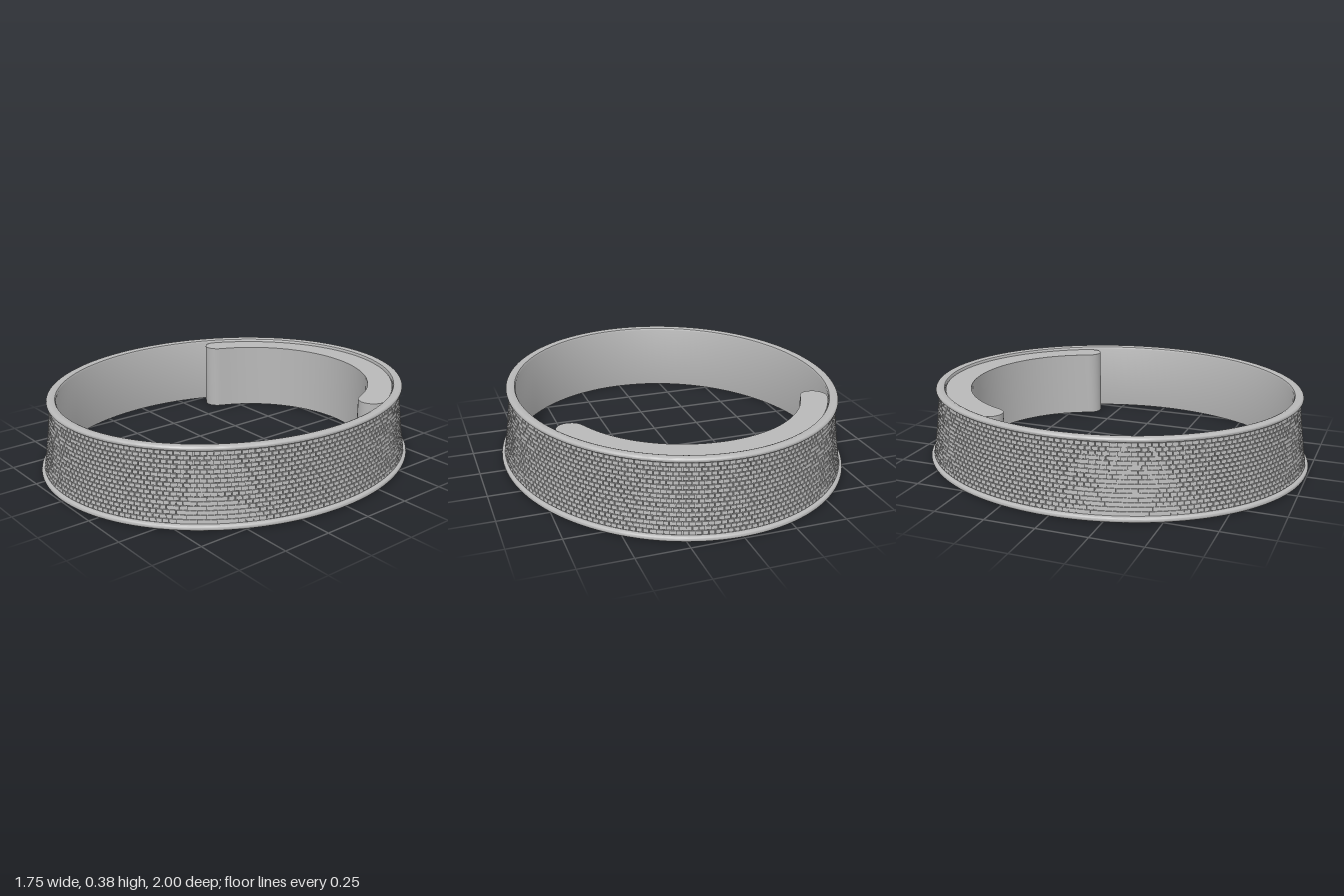
import * as THREE from 'three';
import { mergeGeometries, mergeVertices, toCreasedNormals } from 'three/addons/utils/BufferGeometryUtils.js';

const STRETCH = 0.125; // the ring is this much longer in z than in x, at every radius

// Outside radius of the slightly waisted wall at height y
const wallRadius = (y) => {
  const t = (y - 0.02) / 0.34;
  return 0.855 - 0.043 * t - 0.016 * t * (1 - t);
};

// Place a point by angle, height and radius on the oval
const ovalPoint = (angle, y, r) =>
  new THREE.Vector3(r * Math.sin(angle), y, (r + STRETCH) * Math.cos(angle));

// Revolve a profile of [radius, y] pairs and stretch it to the oval
function ovalLathe(profile, crease) {
  const pts = profile.map(([r, y]) => new THREE.Vector2(r, y));
  let geo = new THREE.LatheGeometry(pts, 128);
  const p = geo.attributes.position;
  for (let i = 0; i < p.count; i++) {
    const r = Math.hypot(p.getX(i), p.getZ(i));
    p.setZ(i, p.getZ(i) * (1 + STRETCH / r));
  }
  geo.deleteAttribute('normal');
  geo.deleteAttribute('uv');
  geo = mergeVertices(geo, 1e-5);
  return toCreasedNormals(geo, crease);
}

// Half-round bead bulging outwards around a rim
function bead(r, y, radius) {
  const out = [];
  for (let i = 0; i <= 8; i++) {
    const a = -Math.PI / 2 + (Math.PI * i) / 8;
    out.push([r + radius * Math.cos(a), y + radius * Math.sin(a)]);
  }
  return out;
}

// Staggered rows of small raised tiles that follow the wall
function tileGeometry() {
  const rows = 16, columns = 190, y0 = 0.029, y1 = 0.355;
  const pitch = (y1 - y0) / rows, step = (Math.PI * 2) / columns;
  const tiles = [];
  for (let row = 0; row < rows; row++) {
    for (let col = 0; col < columns; col++) {
      const tile = new THREE.BoxGeometry(step * 0.88, pitch * 0.84, 0.01);
      tile.deleteAttribute('uv');
      const p = tile.attributes.position;
      const angle = (col + (row % 2) / 2) * step;
      for (let i = 0; i < p.count; i++) {
        const y = y0 + (row + 0.5) * pitch + p.getY(i);
        const v = ovalPoint(angle + p.getX(i), y, wallRadius(y) + p.getZ(i));
        p.setXYZ(i, v.x, v.y, v.z);
      }
      tile.computeVertexNormals();
      tiles.push(tile);
    }
  }
  return mergeGeometries(tiles);
}

// Crescent pad with rounded ends, fitted inside the back of the ring
function padGeometry() {
  const points = [];
  const arc = (cx, cy, rx, ry, from, to, n) => {
    for (let i = 0; i < n; i++) {
      const a = from + ((to - from) * i) / n;
      points.push(new THREE.Vector2(cx + rx * Math.cos(a), cy + ry * Math.sin(a)));
    }
  };
  arc(0, 0, 0.78, 0.905, 0.499, Math.PI - 0.499, 56);
  arc(-0.62, 0.41, 0.067, 0.067, Math.PI - 0.34, Math.PI * 2 - 0.3, 14);
  arc(0, 0.175, 0.595, 0.595, Math.PI - 0.37, 0.37, 48);
  arc(0.62, 0.41, 0.067, 0.067, -Math.PI + 0.3, 0.34, 14);
  const geo = new THREE.ExtrudeGeometry(new THREE.Shape(points), { depth: 0.355, bevelEnabled: false });
  geo.rotateX(-Math.PI / 2);
  geo.translate(0, 0.008, 0);
  // Flare the outer side so it stays against the sloping wall
  const p = geo.attributes.position;
  for (let i = 0; i < p.count; i++) {
    const x = p.getX(i), z = p.getZ(i);
    if ((x / 0.78) ** 2 + (z / 0.905) ** 2 > 0.98) {
      const k = 1 + 0.048 * (1 - p.getY(i) / 0.363);
      p.setX(i, x * k);
      p.setZ(i, z * k);
    }
  }
  geo.deleteAttribute('normal');
  geo.deleteAttribute('uv');
  return toCreasedNormals(mergeVertices(geo, 1e-5), 0.7);
}

export function createModel() {
  const group = new THREE.Group();
  const metal = new THREE.MeshStandardMaterial({ color: 0xb8b8b8 });
  metal.name = 'plain grey';
  const add = (name, geo) => {
    const mesh = new THREE.Mesh(geo, metal);
    mesh.name = name;
    group.add(mesh);
  };

  // Band with rounded rims, a waisted outer wall and a sloping inner wall
  const wall = [];
  for (let i = 0; i <= 8; i++) {
    const y = 0.027 + (0.33 * i) / 8;
    wall.push([wallRadius(y), y]);
  }
  const profile = [
    [0.826, 0],
    ...bead(0.861, 0.013, 0.013),
    ...wall,
    ...bead(0.818, 0.368, 0.012),
    [0.797, 0.38], [0.787, 0.376], [0.782, 0.366],
    [0.826, 0],
  ];
  add('band', ovalLathe(profile, 0.6));
  add('wallTiles', tileGeometry());
  add('innerPad', padGeometry());
  return group;
}
